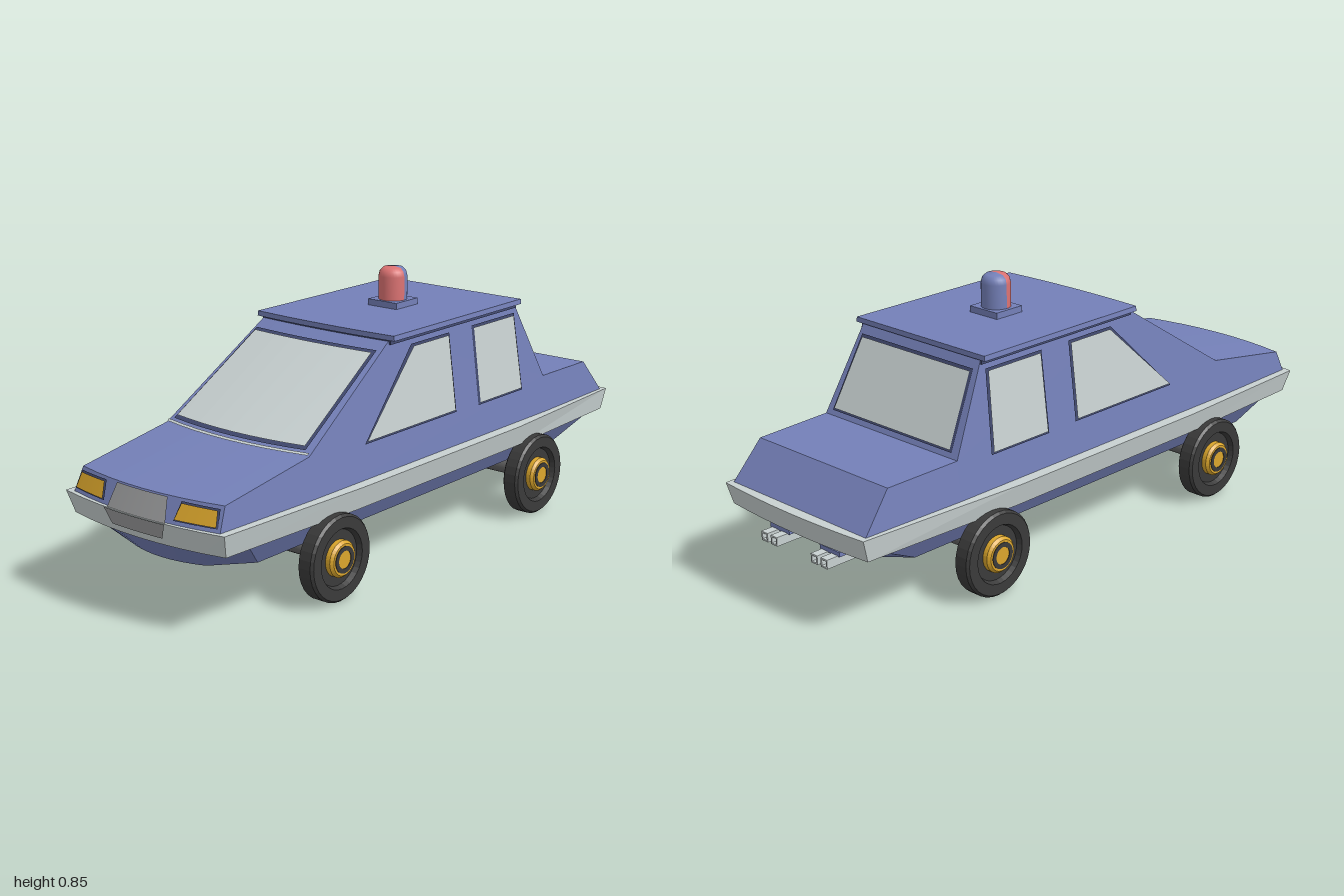
import * as THREE from 'three';

const mat = (name, color, side = THREE.FrontSide) => {
  const m = new THREE.MeshStandardMaterial({ color, side });
  m.name = name;
  return m;
};

export function createModel() {
  const car = new THREE.Group();
  car.name = 'car';
  const blue = mat('body blue', 0x7480b8);
  const pale = mat('pale grey', 0xc8d1d1);
  const trim = mat('dark trim', 0x40486e);
  const gold = mat('amber', 0xdba62c);
  const red = mat('beacon red', 0xdb7272);
  const rubber = mat('tyre black', 0x3a3a3a);
  const steel = mat('axle grey', 0x5e5e5e);
  const grey = mat('grille grey', 0x9a9b9c);

  const add = (name, geo, material, parent = car) => {
    const m = new THREE.Mesh(geo, material);
    m.name = name;
    parent.add(m);
    return m;
  };
  const facet = (g) => {
    const f = g.index ? g.toNonIndexed() : g;
    f.computeVertexNormals();
    return f;
  };

  // Body rules: sides lean in with height, nose bulges forward at the middle
  const halfWidth = (y, z) => 0.3 - 0.13 * (y - 0.32) - 0.03 * Math.max(0, Math.abs(z) - 0.61);
  const bulge = (z, t) => 0.035 * Math.min(Math.max(z, 0) / 0.6, 1) * (1 - t * t);

  // Side profile [z, y] swept across the car and bent by the body rules
  function sweep(profile, extra = 0) {
    const shape = new THREE.Shape(profile.map(([z, y]) => new THREE.Vector2(z, y)));
    const g = new THREE.ExtrudeGeometry(shape, { depth: 2, steps: 8, bevelEnabled: false });
    const p = g.attributes.position;
    for (let i = 0; i < p.count; i++) {
      const z = p.getX(i), y = p.getY(i), t = 1 - p.getZ(i);
      p.setXYZ(i, t * (halfWidth(y, z) + extra), y, z + bulge(z, t));
    }
    return facet(g);
  }
  add('cabin', sweep([[0.58, 0.31], [0.58, 0.445], [0.18, 0.7], [-0.48, 0.7], [-0.61, 0.44], [-0.61, 0.31]]), blue);
  add('hood', sweep([[0.58, 0.31], [0.955, 0.31], [0.955, 0.32], [0.925, 0.39], [0.58, 0.445]]), blue);
  add('trunk', sweep([[-0.61, 0.31], [-0.61, 0.44], [-0.87, 0.435], [-0.965, 0.32], [-0.965, 0.31]]), blue);
  add('roof', sweep([[0.18, 0.704], [0.18, 0.72], [-0.485, 0.72], [-0.485, 0.704]], 0.024), blue);
  add('roofGutter', sweep([[0.176, 0.69], [0.176, 0.704], [-0.48, 0.704], [-0.48, 0.69]], 0.005), trim);

  // Closed loft between horizontal outlines
  function loft(rings) {
    const n = rings[0].length, pos = [], idx = [];
    rings.forEach((r) => r.forEach((v) => pos.push(...v)));
    for (let r = 0; r < rings.length - 1; r++) {
      for (let i = 0; i < n; i++) {
        const a = r * n + i, b = r * n + ((i + 1) % n);
        idx.push(a, b, b + n, a, b + n, a + n);
      }
    }
    const top = (rings.length - 1) * n, c = pos.length / 3;
    pos.push(0, rings[0][0][1], 0, 0, rings.at(-1)[0][1], 0);
    for (let i = 0; i < n; i++) {
      const j = (i + 1) % n;
      idx.push(c, j, i, c + 1, top + i, top + j);
    }
    const g = new THREE.BufferGeometry();
    g.setAttribute('position', new THREE.Float32BufferAttribute(pos, 3));
    g.setIndex(idx);
    return facet(g);
  }
  // Outline from its right-hand corners [x, z], ordered back to front, with curved ends
  function outline(y, corners, frontBulge, rearBulge) {
    const pts = corners.map(([x, z]) => [x, y, z]);
    const arc = (s, [x, z], b) => {
      for (let i = 1; i < 8; i++) {
        const t = 1 - i / 4;
        pts.push([s * t * x, y, z + b * (1 - t * t)]);
      }
    };
    arc(1, corners.at(-1), frontBulge);
    [...corners].reverse().forEach(([x, z]) => pts.push([-x, y, z]));
    arc(-1, corners[0], -rearBulge);
    return pts.reverse();
  }
  add('bumperBelt', loft([
    outline(0.25, [[0.295, -0.965], [0.322, -0.4], [0.322, 0.4], [0.3, 0.945]], 0.035, 0.015),
    outline(0.32, [[0.302, -0.985], [0.338, -0.4], [0.338, 0.4], [0.315, 0.965]], 0.035, 0.015),
  ]), pale);
  add('lowerBody', loft([
    outline(0.17, [[0.15, -0.82], [0.24, -0.74], [0.245, 0.76], [0.15, 0.87]], 0.03, 0.005),
    outline(0.255, [[0.24, -0.95], [0.29, -0.9], [0.295, 0.85], [0.23, 0.945]], 0.035, 0.01),
  ]), blue);

  // Thin panel: four corners (counter-clockwise from outside) laid on a surface
  function panel(name, [a, b, c, d], material, map) {
    const n = 8, pos = [], idx = [];
    for (const [p, q] of [[a, b], [d, c]]) {
      for (let i = 0; i <= n; i++) {
        const s = i / n;
        pos.push(...map(p[0] + (q[0] - p[0]) * s, p[1] + (q[1] - p[1]) * s));
      }
    }
    for (let i = 0; i < n; i++) idx.push(i, i + 1, i + n + 2, i, i + n + 2, i + n + 1);
    const g = new THREE.BufferGeometry();
    g.setAttribute('position', new THREE.Float32BufferAttribute(pos, 3));
    g.setIndex(idx);
    g.computeVertexNormals();
    add(name, g, material);
  }
  // Panel with a slightly larger dark surround beneath it
  function framed(name, pts, material, surface, rim = 0.007) {
    const cu = pts.reduce((s, p) => s + p[0], 0) / 4, cv = pts.reduce((s, p) => s + p[1], 0) / 4;
    const grown = pts.map(([u, v]) => [u + rim * Math.sign(u - cu), v + rim * Math.sign(v - cv)]);
    panel(name + 'Frame', grown, trim, (u, v) => surface(u, v, 0.004));
    panel(name, pts, material, (u, v) => surface(u, v, 0.008));
  }

  // Windscreen and rear window
  const windscreenAt = (x, y, off) => {
    const z = 0.58 - ((y - 0.445) * 0.4) / 0.255;
    return [x, y + off * 0.7, z + bulge(z, x / halfWidth(y, z)) + off];
  };
  framed('windscreen', [[-0.255, 0.463], [0.255, 0.463], [0.233, 0.67], [-0.233, 0.67]], pale, windscreenAt);
  panel('windscreenSeal', [[-0.28, 0.446], [0.28, 0.446], [0.28, 0.451], [-0.28, 0.451]], pale,
    (x, y) => windscreenAt(x, y, 0.005));
  framed('rearWindow', [[0.25, 0.463], [-0.25, 0.463], [-0.23, 0.67], [0.23, 0.67]], pale,
    (x, y, off) => [x, y, -0.48 - (0.7 - y) * 0.5 - off]);

  // Side windows
  const sideWindows = {
    frontWindow: [[0.33, 0.432], [-0.108, 0.432], [-0.108, 0.668], [0.07, 0.668]],
    backWindow: [[-0.24, 0.428], [-0.47, 0.428], [-0.46, 0.668], [-0.24, 0.668]],
  };
  for (const s of [1, -1]) {
    for (const [name, [a, b, c, d]] of Object.entries(sideWindows)) {
      framed((s > 0 ? 'left' : 'right') + name, s > 0 ? [a, b, c, d] : [b, a, d, c], pale,
        (z, y, off) => [s * (halfWidth(y, 0) + off), y, z]);
    }
  }

  // Headlights and grille on the curved nose
  const noseAt = (x, y, off) => [x, y, 0.955 - (y - 0.32) * 0.43 + bulge(0.95, x / 0.285) + off];
  framed('leftHeadlight', [[0.142, 0.335], [0.278, 0.335], [0.27, 0.378], [0.153, 0.38]], gold, noseAt, 0.004);
  framed('rightHeadlight', [[-0.278, 0.335], [-0.142, 0.335], [-0.153, 0.38], [-0.27, 0.378]], gold, noseAt, 0.004);
  panel('grille', [[-0.115, 0.32], [0.115, 0.32], [0.1, 0.388], [-0.1, 0.388]], grey, (x, y) => noseAt(x, y, 0.006));
  panel('lowerGrille', [[-0.1, 0.272], [0.1, 0.272], [0.12, 0.32], [-0.12, 0.32]], grey,
    (x, y) => [x, y, 0.969 - (0.32 - y) * 0.28 + 0.035 * (1 - (x / 0.315) ** 2)]);

  // Roof beacon: red front half, blue back half
  const beacon = new THREE.Group();
  beacon.name = 'beacon';
  beacon.position.set(0, 0.72, -0.16);
  car.add(beacon);
  add('beaconBase', new THREE.BoxGeometry(0.115, 0.022, 0.11), blue, beacon).position.y = 0.009;
  const dome = [[0.046, 0], [0.046, 0.095], [0.042, 0.111], [0.031, 0.122], [0, 0.126]]
    .map(([r, y]) => new THREE.Vector2(r, y));
  add('beaconFront', new THREE.LatheGeometry(dome, 16, -Math.PI / 2, Math.PI), red, beacon);
  add('beaconBack', new THREE.LatheGeometry(dome, 16, Math.PI / 2, Math.PI), blue, beacon);

  // Wheels: profiles turned about the axle, distances measured outward from the centre line
  const turned = (pts) => facet(new THREE.LatheGeometry(pts.map(([r, x]) => new THREE.Vector2(r, x)), 32)
    .rotateZ(-Math.PI / 2));
  const tyre = turned([[0, 0.292], [0.124, 0.292], [0.133, 0.299], [0.133, 0.342], [0.126, 0.35],
    [0.092, 0.35], [0.085, 0.334], [0, 0.334]]);
  const hub = turned([[0.056, 0.33], [0.056, 0.35], [0.048, 0.359], [0, 0.359]]);
  const hubRing = turned([[0.041, 0.358], [0.041, 0.361], [0.027, 0.361], [0.027, 0.358]]);
  const drum = turned([[0, 0.243], [0.047, 0.243], [0.056, 0.293]]);
  for (const [label, z] of [['front', 0.515], ['rear', -0.505]]) {
    const axle = new THREE.CylinderGeometry(0.023, 0.023, 0.52, 16).rotateZ(Math.PI / 2);
    add(label + 'Axle', axle, steel).position.set(0, 0.135, z);
    for (const side of [1, -1]) {
      const wheel = new THREE.Group();
      wheel.name = label + (side > 0 ? 'Left' : 'Right') + 'Wheel';
      wheel.position.set(0, 0.134, z);
      wheel.rotation.y = side > 0 ? 0 : Math.PI;
      add('tyre', tyre, rubber, wheel);
      add('hub', hub, gold, wheel);
      add('hubRing', hubRing, rubber, wheel);
      add('drum', drum, steel, wheel);
      car.add(wheel);
    }
  }

  // Twin square exhaust pipes on each side
  const square = (C, r) => new C([[-r, -r], [r, -r], [r, r], [-r, r]].map(([x, y]) => new THREE.Vector2(x, y)));
  const pipe = square(THREE.Shape, 0.014);
  pipe.holes.push(square(THREE.Path, 0.009));
  const pipeGeo = new THREE.ExtrudeGeometry(pipe, { depth: 0.14, bevelEnabled: false });
  for (const s of [1, -1]) {
    for (const dx of [-0.021, 0.021]) {
      add('exhaustPipe', pipeGeo, pale).position.set(s * 0.11 + dx, 0.2, -0.985);
    }
    add('exhaustBracket', new THREE.BoxGeometry(0.085, 0.014, 0.09), blue).position.set(s * 0.11, 0.219, -0.9);
  }
  return car;
}
